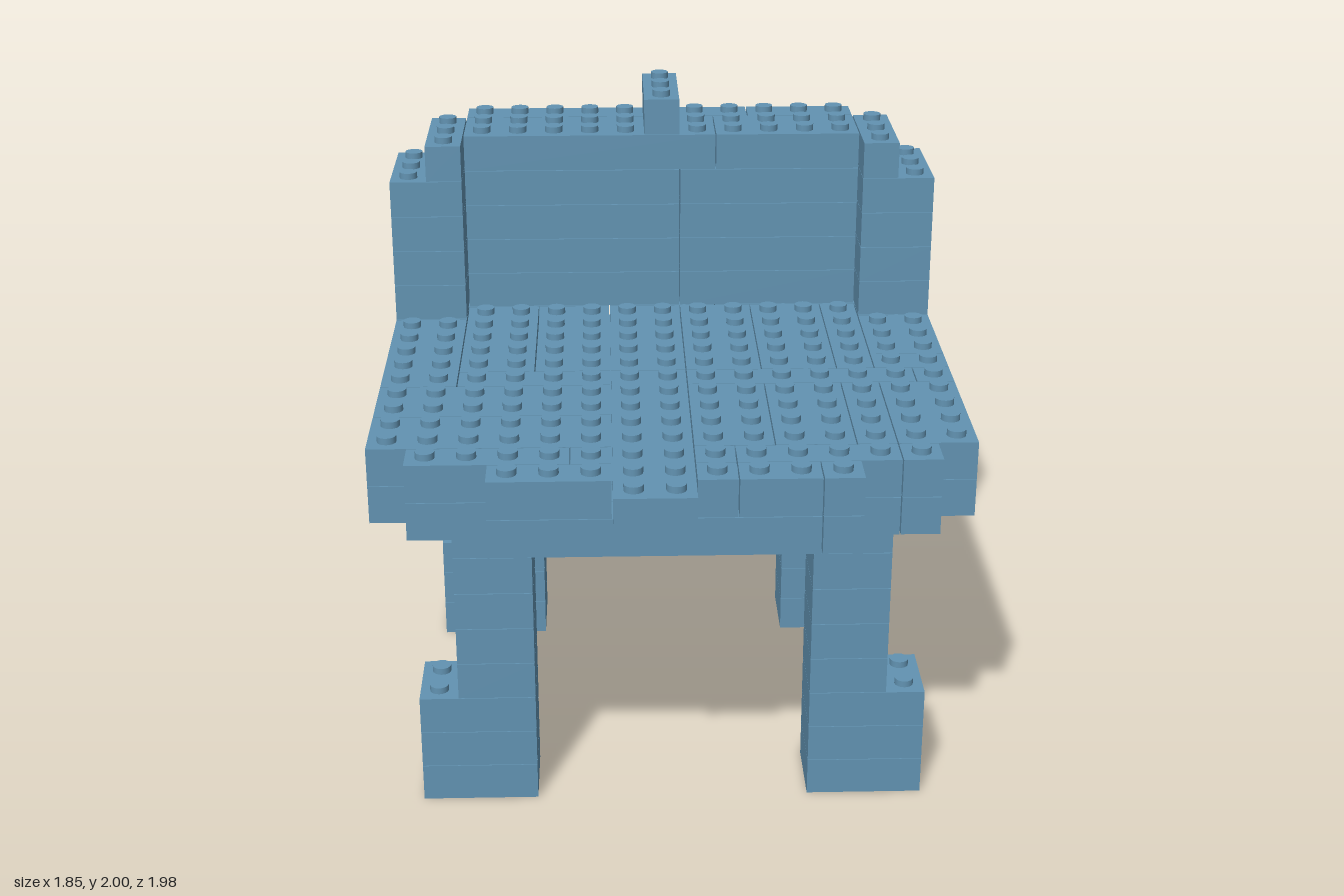
import * as THREE from 'three';
import { mergeGeometries } from 'three/addons/utils/BufferGeometryUtils.js';

const P = 0.1238;            // stud pitch, also the brick height
const GAP = 0.002;           // clearance around each brick
const X0 = -7.5 * P, Z0 = -8 * P;
const STUD_R = 0.03, STUD_H = 0.0192;

// A brick is [x start, x end, z start, z end, first layer, last layer], in studs
const onLayers = (plan, first, last = first) => plan.map(b => [...b, first, last]);

// Front and back pairs of one row: split points along x
const row = (k0, k1, ...cuts) => cuts.slice(1).map((c, n) => [cuts[n], c, k0, k1]);

const seatTop = [
  ...row(0, 1, 2, 6, 10, 13),
  ...row(1, 3, 0, 6, 9, 15),
  [0, 2, 3, 4], [13, 15, 3, 4],
  ...row(3, 8, 2, 4, 6, 8, 10, 12, 13),
  [0, 2, 4, 9], [13, 15, 4, 7], [13, 15, 7, 8],
  [2, 6, 8, 9], [8, 14, 8, 9], [14, 15, 8, 9],
  [6, 8, 8, 16],
  [0, 6, 9, 11], [0, 6, 11, 13],
  ...row(9, 13, 8, 10, 12, 13, 15),
  ...row(13, 14, 1, 5, 6), ...row(13, 14, 8, 9, 13, 14),
  ...row(14, 15, 3, 6), ...row(14, 15, 8, 9, 11, 12),
];

const seatBase = [
  ...row(0, 1, 2, 4, 6, 10, 13),
  ...row(1, 9, 0, 5, 10, 15),
  ...row(9, 13, 0, 5, 10, 15),
  ...row(13, 14, 1, 12, 13, 14),
  ...row(14, 15, 3, 11, 12),
];

const backrest = [
  ...row(0, 1, 2, 10, 13),
  ...row(1, 3, 2, 8, 13),
  [0, 2, 1, 4], [13, 15, 1, 4],
];

const backrestCap = [
  ...row(0, 1, 2, 10, 13),
  ...row(1, 3, 2, 9, 13),
  [1, 2, 1, 4], [13, 14, 1, 4],
];

// Leg: wide foot, slim post, bracket reaching in under the seat
function leg(side, front) {
  const post = side < 0 ? [2, 4] : [11, 13];
  const foot = side < 0 ? [1, 4] : [11, 14];
  const z = front ? [11, 13] : [2, 4];
  const bracket = front ? [10, 13] : [2, 5];
  return [
    [...foot, ...z, 0, 2],
    [...post, ...z, 3, 6],
    [...post, ...bracket, 7, 7],
  ];
}

const parts = {
  frontLeftLeg: leg(1, true),
  frontRightLeg: leg(-1, true),
  backLeftLeg: leg(1, false),
  backRightLeg: leg(-1, false),
  seatBase: onLayers(seatBase, 8),
  seatTop: onLayers(seatTop, 9),
  backrest: onLayers(backrest, 10, 13),
  backrestCap: onLayers(backrestCap, 14),
  crest: [[7, 8, 0, 3, 15, 15]],
};

function eachCell([i0, i1, k0, k1], fn) {
  for (let i = i0; i < i1; i++) for (let k = k0; k < k1; k++) fn(i, k);
}

export function createModel() {
  const model = new THREE.Group();
  const blue = new THREE.MeshStandardMaterial({ color: 0x6293b2 });
  blue.name = 'dusty blue';

  // Filled cells, so that studs appear only where nothing sits on top
  const filled = new Set();
  for (const bricks of Object.values(parts))
    for (const b of bricks)
      for (let l = b[4]; l <= b[5]; l++) eachCell(b, (i, k) => filled.add(`${i},${k},${l}`));

  for (const [name, bricks] of Object.entries(parts)) {
    const boxes = [], studs = [];
    for (const b of bricks) {
      const [i0, i1, k0, k1, first, last] = b;
      for (let l = first; l <= last; l++) {
        const box = new THREE.BoxGeometry((i1 - i0) * P - 2 * GAP, P - GAP, (k1 - k0) * P - 2 * GAP);
        box.translate(X0 + (i0 + i1) / 2 * P, l * P + (P - GAP) / 2, Z0 + (k0 + k1) / 2 * P);
        boxes.push(box);
        eachCell(b, (i, k) => {
          if (filled.has(`${i},${k},${l + 1}`)) return;
          const stud = new THREE.CylinderGeometry(STUD_R, STUD_R, STUD_H + GAP, 16);
          stud.translate(X0 + (i + 0.5) * P, (l + 1) * P + (STUD_H - GAP) / 2, Z0 + (k + 0.5) * P);
          studs.push(stud);
        });
      }
    }
    const part = new THREE.Group();
    part.name = name;
    for (const [label, list] of [['Bricks', boxes], ['Studs', studs]]) {
      if (!list.length) continue;
      const mesh = new THREE.Mesh(mergeGeometries(list), blue);
      mesh.name = name + label;
      part.add(mesh);
    }
    model.add(part);
  }
  return model;
}
